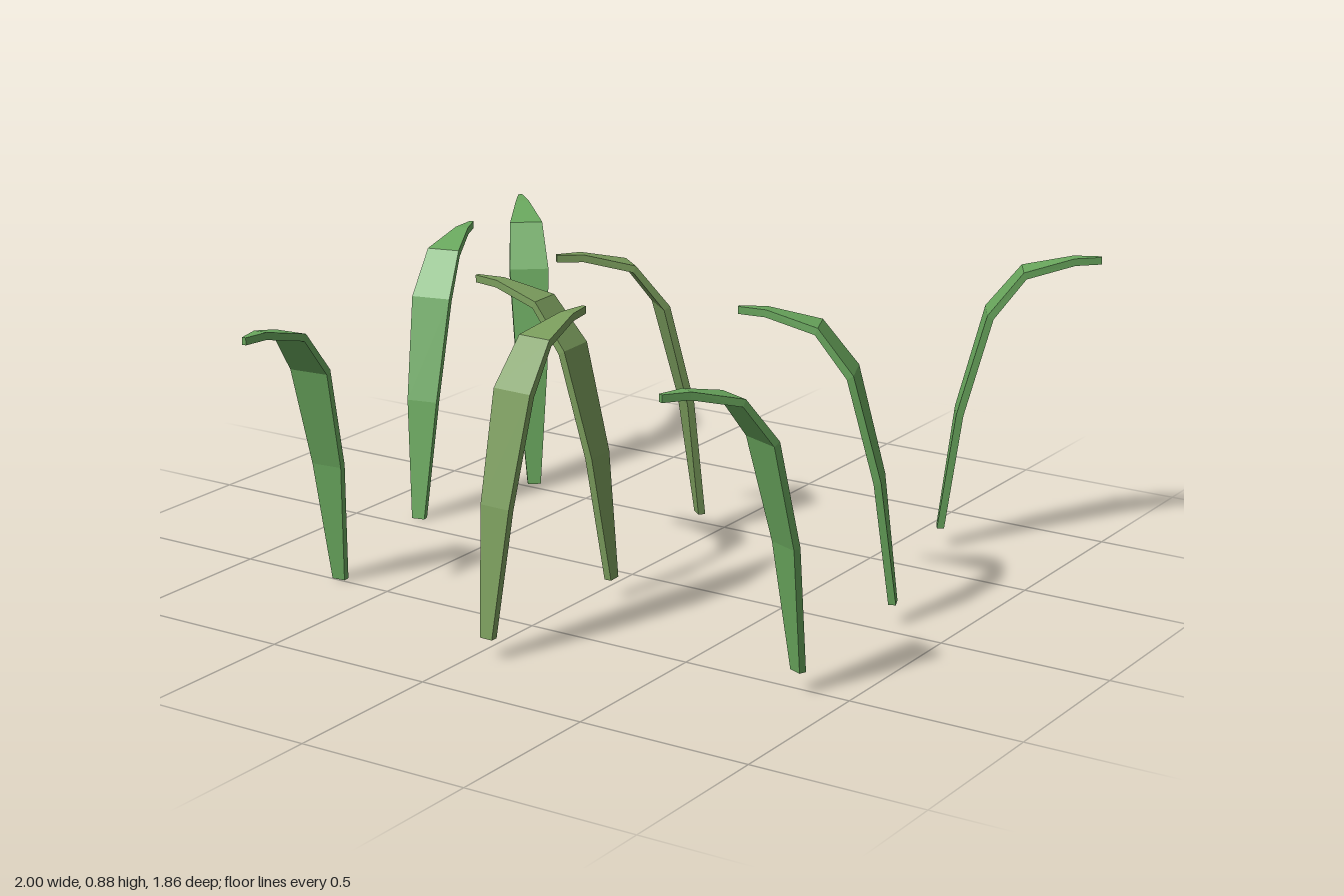
import * as THREE from 'three';

// Blade centreline and outline: [reach, height, half width, tilt of face normal in degrees]
const STATIONS = [
  [0.01, 0, 0.02, 180],
  [0.055, 0.355, 0.047, 169],
  [0.133, 0.652, 0.06, 149],
  [0.228, 0.773, 0.05, 113],
  [0.37, 0.808, 0.02, 97],
  [0.447, 0.81, 0.006, 90],
];
const HALF_THICKNESS = 0.0105;

// Bent leaf: a thin four-cornered section swept along the stations, reaching toward +x
function bladeGeometry() {
  const positions = [];
  const index = [];
  for (const [s, y, w, tilt] of STATIONS) {
    const a = THREE.MathUtils.degToRad(tilt);
    const nx = Math.cos(a) * HALF_THICKNESS;
    const ny = Math.sin(a) * HALF_THICKNESS;
    positions.push(
      s + nx, y + ny, w,
      s + nx, y + ny, -w,
      s - nx, y - ny, -w,
      s - nx, y - ny, w,
    );
  }
  const last = (STATIONS.length - 1) * 4;
  for (let r = 0; r < last; r += 4) {
    for (let k = 0; k < 4; k++) {
      const a = r + k;
      const b = r + ((k + 1) % 4);
      index.push(b, a, a + 4, b, a + 4, b + 4);
    }
  }
  // End caps
  index.push(0, 1, 2, 0, 2, 3);
  index.push(last, last + 2, last + 1, last, last + 3, last + 2);

  const geometry = new THREE.BufferGeometry();
  geometry.setAttribute('position', new THREE.Float32BufferAttribute(positions, 3));
  geometry.setIndex(index);
  const flat = geometry.toNonIndexed();
  flat.computeVertexNormals();
  return flat;
}

// Three clumps; each blade is [base x, base z, tip x, tip z]
const CLUMPS = [
  {
    name: 'leftClump', color: 0x6aa85e, y: 0,
    blades: [
      [-0.714, -0.53, -1.0, -0.873],
      [-0.812, -0.06, -0.915, -0.497],
      [-0.68, 0.475, -0.636, 0.92],
    ],
  },
  {
    name: 'middleClump', color: 0x7a9c5c, y: 0.06,
    blades: [
      [-0.035, -0.435, -0.32, -0.09],
      [0.07, 0.197, -0.375, 0.218],
      [0.047, 0.78, 0.064, 0.335],
    ],
  },
  {
    name: 'rightClump', color: 0x68a55c, y: 0.06,
    blades: [
      [0.608, -0.702, 0.998, -0.928],
      [0.825, -0.065, 0.408, 0.107],
      [0.862, 0.512, 0.692, 0.925],
    ],
  },
];

export function createModel() {
  const model = new THREE.Group();
  model.name = 'grassBlades';
  const geometry = bladeGeometry();

  for (const { name, color, y, blades } of CLUMPS) {
    const clump = new THREE.Group();
    clump.name = name;
    const material = new THREE.MeshStandardMaterial({ color, flatShading: true });
    blades.forEach(([bx, bz, tx, tz], i) => {
      const blade = new THREE.Mesh(geometry, material);
      blade.name = `grassBlade${i + 1}`;
      blade.position.set(bx, y, bz);
      blade.rotation.y = Math.atan2(bz - tz, tx - bx);
      clump.add(blade);
    });
    model.add(clump);
  }
  return model;
}
